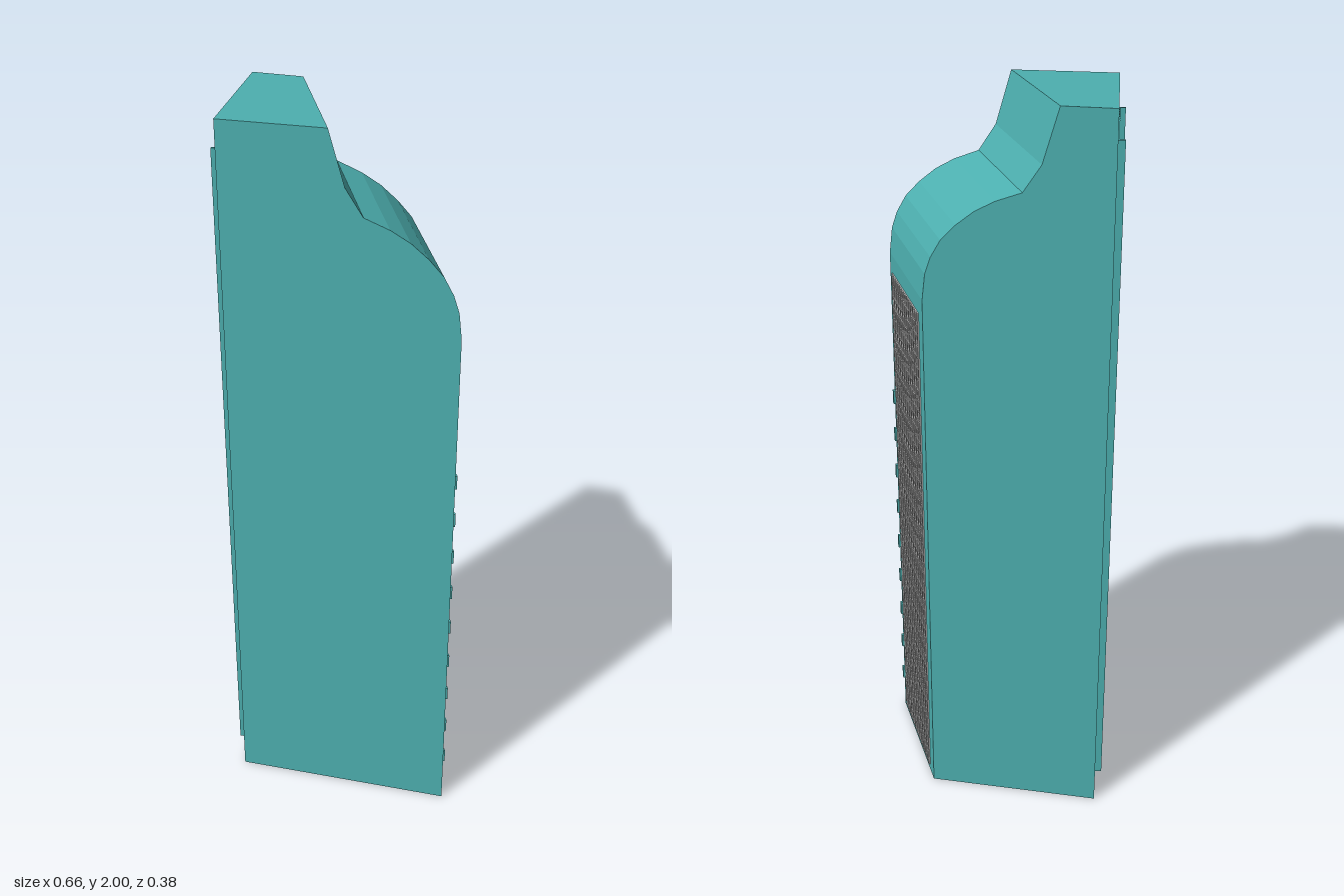
import * as THREE from 'three';
import { mergeGeometries } from 'three/addons/utils/BufferGeometryUtils.js';

const teal = new THREE.MeshStandardMaterial({ color: 0x4db0b0, flatShading: true });
const grey = new THREE.MeshStandardMaterial({ color: 0xcccccc, flatShading: true });

function box(w, h, d, x, y, z) {
  return new THREE.BoxGeometry(w, h, d).translate(x, y, z);
}

function addMesh(parent, name, geometry, material) {
  const mesh = new THREE.Mesh(geometry, material);
  mesh.name = name;
  parent.add(mesh);
}

// Stepped and rounded front outline, swept back along the slanted side wall
function cabinetGeometry() {
  const left = -0.275, right = 0.33;
  const shape = new THREE.Shape();
  shape.moveTo(left, 0);
  shape.lineTo(right, 0);
  shape.lineTo(right, 1.5);
  const curve = [[0.322, 1.57], [0.307, 1.615], [0.282, 1.66], [0.245, 1.7],
    [0.2, 1.737], [0.15, 1.765], [0.085, 1.79], [0.04, 1.86], [0, 2], [left, 2]];
  curve.forEach(([x, y]) => shape.lineTo(x, y));
  shape.closePath();
  const geo = new THREE.ExtrudeGeometry(shape, { depth: 1, bevelEnabled: false });
  const p = geo.attributes.position;
  for (let i = 0; i < p.count; i++) {
    const x = p.getX(i), front = p.getZ(i) > 0.5;
    const zFront = 0.188 - (x - left) / (right - left) * 0.033;
    const xBack = x < left + 0.001 ? -0.318 : x - 0.502 * (zFront + 0.189);
    p.setX(i, front ? x : xBack);
    p.setZ(i, front ? zFront : -0.189);
  }
  geo.computeVertexNormals();
  return geo;
}

// Crossed bars lying in the local xy plane, facing local +z
function meshGrid(width, y0, y1, cols, rows) {
  const bars = [], t = 0.006, h = y1 - y0, mid = (y0 + y1) / 2;
  for (let i = 0; i <= cols; i++) {
    bars.push(box(t, h, 0.006, (i / cols - 0.5) * (width - t), mid, 0.001));
  }
  for (let j = 0; j <= rows; j++) {
    bars.push(box(width, t, 0.005, 0, y0 + t / 2 + (h - t) * j / rows, 0.001));
  }
  return mergeGeometries(bars);
}

// Group standing on a side wall, with local +z pointing outwards
function wallGroup(name, x, z, nx, nz) {
  const g = new THREE.Group();
  g.name = name;
  g.position.set(x, 0, z);
  g.rotation.y = Math.atan2(nx, nz);
  return g;
}

export function createModel() {
  const model = new THREE.Group();
  model.name = 'cabinet';
  addMesh(model, 'cabinetBody', cabinetGeometry(), teal);

  // Grey grille on the slanted +x wall
  const rightWall = wallGroup('greyGrille', 0.247, -0.01, 0.343, -0.172);
  addMesh(rightWall, 'grilleBacking', box(0.313, 1.43, 0.004, 0, 0.735, -0.001), grey);
  addMesh(rightWall, 'grilleBars', meshGrid(0.313, 0.02, 1.45, 12, 46), grey);
  // Small tabs along the front edge of the grille
  const tabs = [];
  for (let i = 0; i < 9; i++) tabs.push(box(0.01, 0.04, 0.012, -0.16, 0.14 + i * 0.1175, 0.004));
  addMesh(rightWall, 'edgeTabs', mergeGeometries(tabs), teal);
  model.add(rightWall);

  // Screen between two upright rails on the -x wall
  const leftWall = wallGroup('sideScreen', -0.2965, 0, -0.378, 0.043);
  addMesh(leftWall, 'screenBars', meshGrid(0.31, 0.08, 1.92, 12, 60), teal);
  for (const s of [-1, 1]) {
    addMesh(leftWall, s < 0 ? 'backRail' : 'frontRail', box(0.008, 1.84, 0.022, s * 0.16, 1, 0.007), teal);
  }
  model.add(leftWall);
  return model;
}
